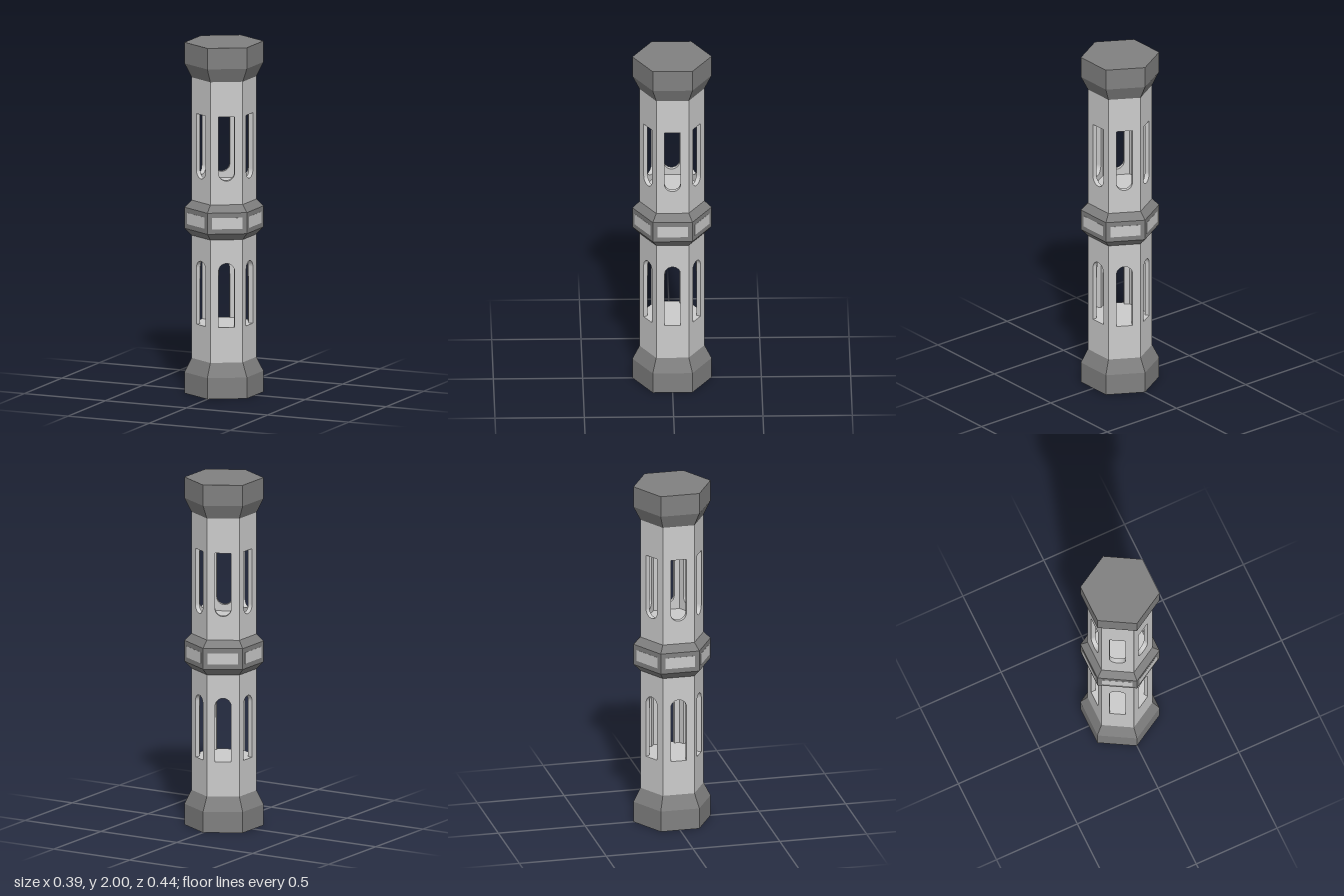
import * as THREE from 'three';

const R_OUT = 0.222;   // caps and collar, corner radius
const R_TUBE = 0.182;  // tube, corner radius
const WALL = 0.026;
const APOTHEM = Math.cos(Math.PI / 6);
const R_IN = R_TUBE - WALL / APOTHEM;

const grey = new THREE.MeshStandardMaterial({ color: 0xcccccc, flatShading: true });
const dark = new THREE.MeshStandardMaterial({ color: 0x808080, flatShading: true });

function add(parent, name, geometry, material) {
  const mesh = new THREE.Mesh(geometry, material);
  mesh.name = name;
  parent.add(mesh);
  return mesh;
}

// Six-sided solid from a [radius, y] profile listed bottom to top
function hexSolid(profile) {
  return new THREE.LatheGeometry(profile.map(([r, y]) => new THREE.Vector2(r, y)), 6);
}

// Slot with one square end and one round end
function slot(flatY, roundY, halfWidth) {
  const up = roundY > flatY;
  const spring = roundY - (up ? halfWidth : -halfWidth);
  const path = new THREE.Path();
  path.moveTo(-halfWidth, flatY);
  path.lineTo(halfWidth, flatY);
  path.lineTo(halfWidth, spring);
  path.absarc(0, spring, halfWidth, 0, up ? Math.PI : -Math.PI, !up);
  path.lineTo(-halfWidth, flatY);
  return path;
}

// One tube wall with two slots, its side edges mitred to meet its neighbours
function wallGeometry() {
  const half = R_TUBE / 2;
  const shape = new THREE.Shape();
  shape.moveTo(-half, 0.19);
  shape.lineTo(half, 0.19);
  shape.lineTo(half, 1.81);
  shape.lineTo(-half, 1.81);
  shape.closePath();
  shape.holes.push(slot(0.4, 0.765, 0.045), slot(1.6, 1.235, 0.045));
  const geometry = new THREE.ExtrudeGeometry(shape, { depth: WALL, bevelEnabled: false, curveSegments: 16 });
  const p = geometry.attributes.position;
  for (let i = 0; i < p.count; i++) {
    if (Math.abs(p.getX(i)) > half - 0.001 && p.getZ(i) < WALL / 2) {
      p.setX(i, Math.sign(p.getX(i)) * R_IN / 2);
    }
  }
  geometry.translate(0, 0, R_IN * APOTHEM);
  geometry.computeVertexNormals();
  return geometry;
}

export function createModel() {
  const model = new THREE.Group();
  model.name = 'hexagonalHandle';

  // End caps, flared out from the tube
  const capProfile = [[0, 0], [R_OUT, 0], [R_OUT, 0.12], [R_TUBE, 0.2], [0, 0.2]];
  add(model, 'bottomCap', hexSolid(capProfile), dark);
  add(model, 'topCap', hexSolid(capProfile.map(([r, y]) => [r, 2 - y]).reverse()), dark);

  // Slotted tube walls and the light panels set on the collar
  const tube = new THREE.Group();
  tube.name = 'tube';
  const panels = new THREE.Group();
  panels.name = 'collarPanels';
  model.add(tube, panels);
  const wall = wallGeometry();
  const panel = new THREE.BoxGeometry(0.17, 0.064, 0.01);
  panel.translate(0, 1, R_OUT * APOTHEM - 0.004);
  for (let i = 0; i < 6; i++) {
    const angle = (i + 0.5) * Math.PI / 3;
    add(tube, 'tubeWall', wall, grey).rotation.y = angle;
    add(panels, 'collarPanel', panel, grey).rotation.y = angle;
  }

  // Solid cores that close the two hollow chambers
  for (const [y0, y1] of [[0.19, 0.4], [0.8, 1.2], [1.6, 1.81]]) {
    add(tube, 'tubeCore', hexSolid([[0, y0], [R_IN, y0], [R_IN, y1], [0, y1]]), grey);
  }

  // Bevelled collar round the middle
  add(model, 'collar', hexSolid([
    [R_IN, 0.9], [R_TUBE, 0.9], [R_OUT, 0.94], [R_OUT, 1.06], [R_TUBE, 1.1], [R_IN, 1.1],
  ]), dark);

  return model;
}
